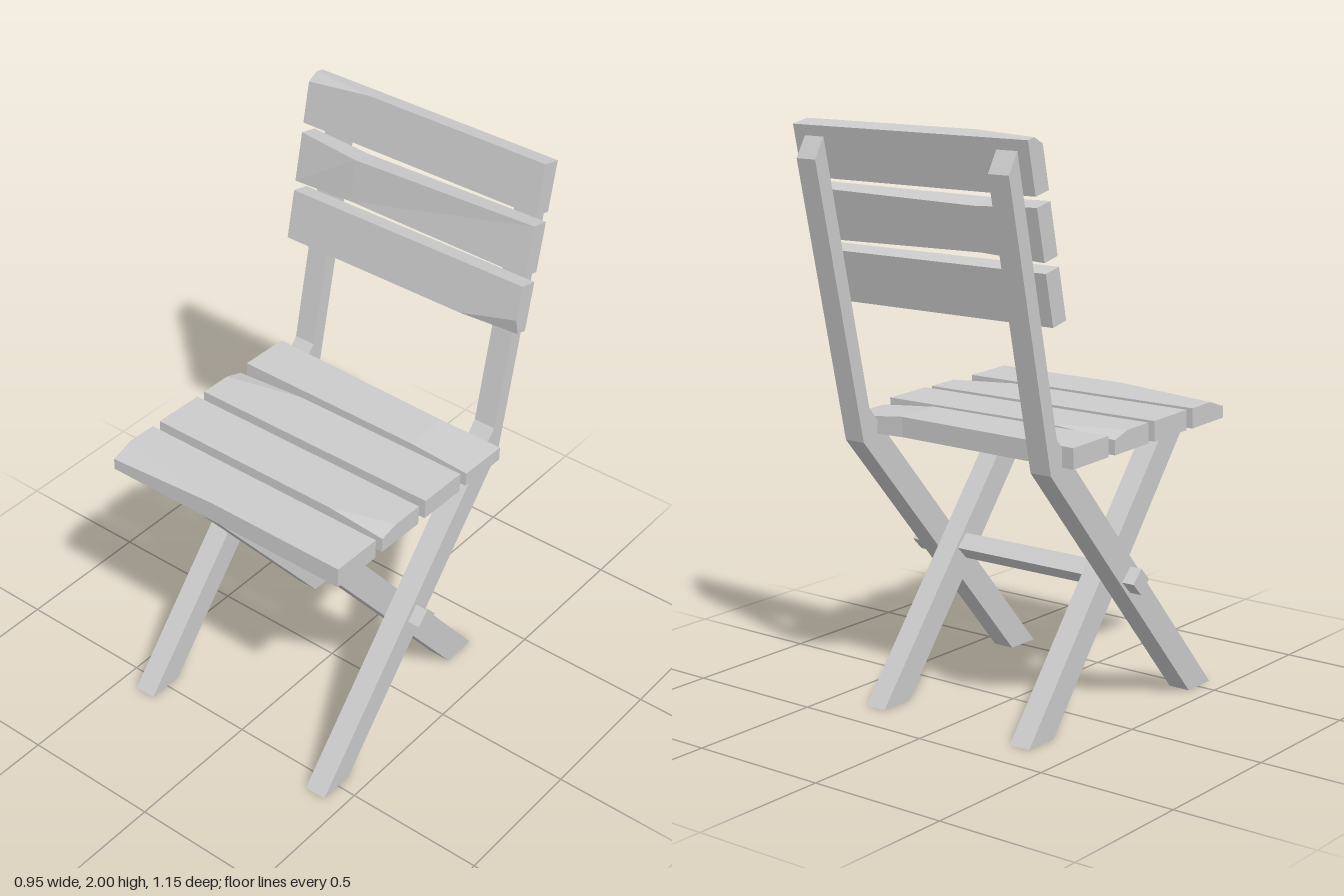
import * as THREE from 'three';
import { ConvexGeometry } from 'three/addons/geometries/ConvexGeometry.js';

const W = 0.95; // slat length

export function createModel() {
  const chair = new THREE.Group();
  chair.name = 'foldingChair';
  const wood = new THREE.MeshStandardMaterial({ color: 0xcccccc, flatShading: true });

  function add(geometry, name, x, y, z, rotX = 0) {
    const mesh = new THREE.Mesh(geometry, wood);
    mesh.name = name;
    mesh.position.set(x, y, z);
    mesh.rotation.x = rotX;
    chair.add(mesh);
  }

  // Plank with one corner (signs in `corner`) sliced off by the lengths in `cut`
  function chippedPlank(h, d, corner, cut) {
    const points = [];
    for (const sx of [-1, 1]) for (const sy of [-1, 1]) for (const sz of [-1, 1]) {
      const p = new THREE.Vector3(sx * W / 2, sy * h / 2, sz * d / 2);
      if (sx === corner[0] && sy === corner[1] && sz === corner[2]) {
        points.push(p.clone().setX(p.x - sx * cut[0]));
        points.push(p.clone().setY(p.y - sy * cut[1]));
        points.push(p.clone().setZ(p.z - sz * cut[2]));
      } else points.push(p);
    }
    return new ConvexGeometry(points);
  }

  // Plank with one inner cross-section at `midX`, its corners moved by a rule
  function bentPlank(h, d, midX, rule) {
    const geometry = new THREE.BoxGeometry(W, h, d, 2, 1, 1);
    const pos = geometry.attributes.position;
    const p = new THREE.Vector3();
    for (let i = 0; i < pos.count; i++) {
      p.fromBufferAttribute(pos, i);
      const end = Math.sign(Math.round(p.x * 100));
      if (end === 0) p.x = midX;
      rule(p, end, Math.sign(p.y), Math.sign(p.z));
      pos.setXYZ(i, p.x, p.y, p.z);
    }
    geometry.computeVertexNormals();
    return geometry;
  }

  // Bar cut from a side profile of [z, y] points, centred on x = 0
  function sideBar(profile, width) {
    const shape = new THREE.Shape(profile.map(([z, y]) => new THREE.Vector2(z, y)));
    return new THREE.ExtrudeGeometry(shape, { depth: width, bevelEnabled: false })
      .translate(0, 0, -width / 2)
      .rotateY(-Math.PI / 2);
  }

  // Crossing legs: the outer pair bends up into the back posts
  const outer = sideBar([[0.575, 0], [0.445, 0], [-0.36, 0.92], [-0.573, 1.88],
    [-0.532, 1.95], [-0.33, 1.033]], 0.08);
  const inner = sideBar([[-0.365, 0], [-0.235, 0], [0.53, 0.958], [0.4, 0.954]], 0.08);
  for (const [side, label] of [[1, 'left'], [-1, 'right']]) {
    add(outer, label + 'LegAndBackPost', side * 0.39, 0, 0);
    add(inner, label + 'InnerLeg', side * 0.31, 0, 0);
  }

  // Rung through the crossing of the legs
  add(new THREE.BoxGeometry(W, 0.064, 0.064), 'rung', 0, 0.485, 0.08, Math.PI / 4);

  // Seat slats, front to back, each worn differently
  const seatSlats = [
    chippedPlank(0.07, 0.19, [-1, 1, 1], [0.43, 0.03, 0.08]),
    chippedPlank(0.07, 0.19, [1, 1, 1], [0.215, 0.018, 0.07]),
    chippedPlank(0.07, 0.19, [-1, 1, -1], [0.275, 0.02, 0.07]),
    bentPlank(0.07, 0.19, 0.25, (p, end, sy, sz) => {
      if (end === 0) p.z += sz < 0 ? 0.023 : 0.006;
      if (end > 0 && sy > 0) p.y -= 0.02;
    }),
  ];
  seatSlats.forEach((geometry, i) => {
    const z = 0.465 - i * 0.2245;
    add(geometry, 'seatSlat' + (i + 1), 0, 0.981 + 0.022 * z, z, -0.03);
  });

  // Back slats, bottom to top, leaning with the posts
  const backSlats = [
    chippedPlank(0.175, 0.068, [1, -1, 1], [0.215, 0.055, 0.025]),
    bentPlank(0.175, 0.068, -0.23, (p, end, sy, sz) => {
      if (end === 0) {
        p.y -= sy * 0.012;
        if (sz > 0) p.z += sy > 0 ? 0.02 : 0.008;
      }
    }),
    chippedPlank(0.175, 0.068, [-1, 1, 1], [0.25, 0.03, 0.036]),
  ];
  backSlats.forEach((geometry, i) => {
    add(geometry, 'backSlat' + (i + 1), 0, 1.497 + i * 0.205, -0.397 - i * 0.045, -0.217);
  });

  return chair;
}
